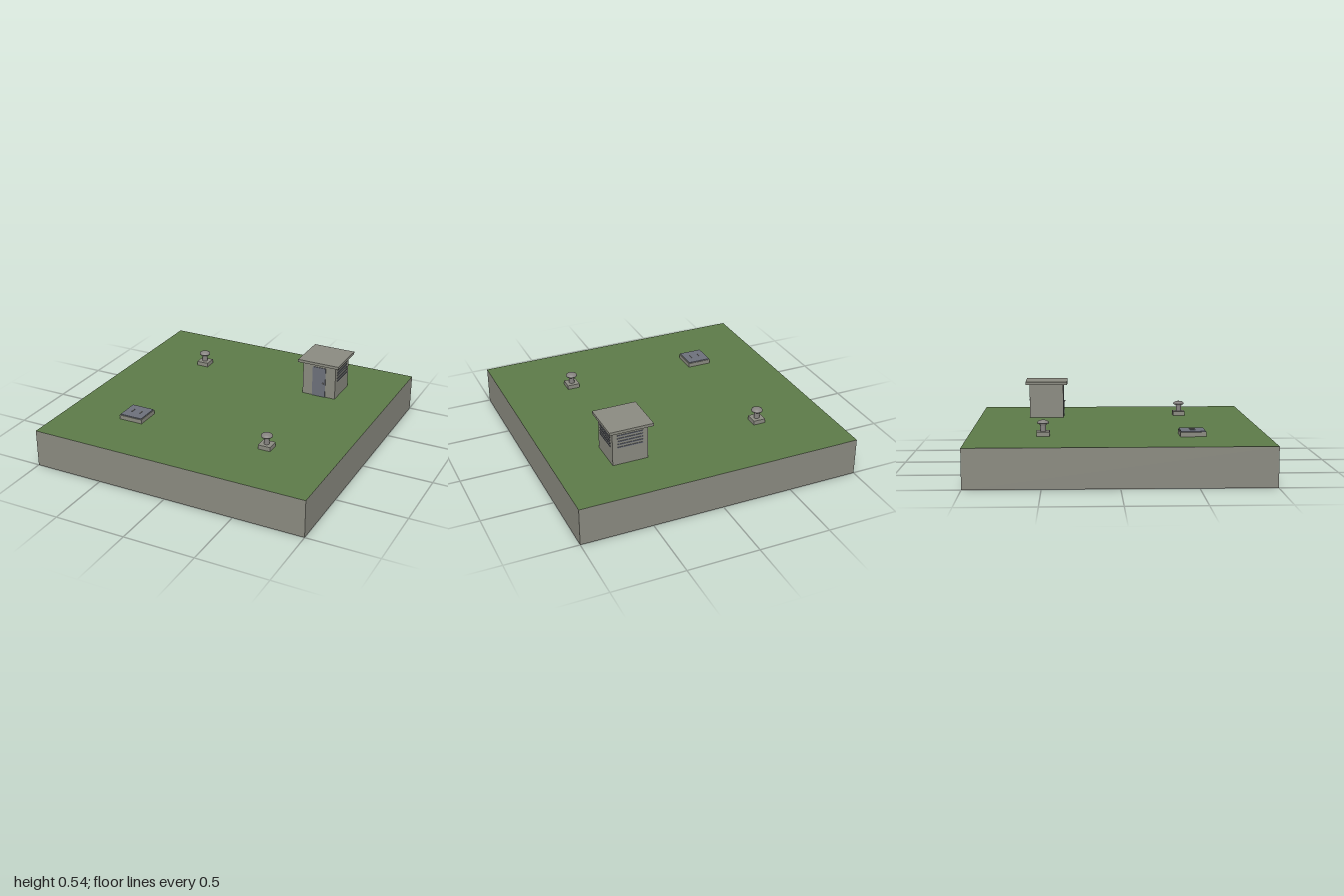
import * as THREE from 'three';

const mat = (name, color, side = THREE.FrontSide) => {
  const m = new THREE.MeshStandardMaterial({ color, side });
  m.name = name;
  return m;
};

export function createModel() {
  const root = new THREE.Group();
  root.name = 'bunkerPlot';
  const grass = mat('grass', 0x5c7a48, THREE.DoubleSide);
  const concrete = mat('concrete', 0x8a8a80, THREE.DoubleSide);
  const steel = mat('steel', 0x6c707a);
  const metal = mat('ventMetal', 0x85827f);
  const G = 0.265; // ground level

  const add = (parent, name, geo, material, x, y, z) => {
    const m = new THREE.Mesh(geo, material);
    m.name = name;
    m.position.set(x, y, z);
    parent.add(m);
    return m;
  };
  // Box standing on height y
  const box = (parent, name, material, w, h, d, x, y, z) =>
    add(parent, name, new THREE.BoxGeometry(w, h, d), material, x, y + h / 2, z);
  const group = (name, x, z) => {
    const g = new THREE.Group();
    g.name = name;
    g.position.set(x, G, z);
    root.add(g);
    return g;
  };

  // Ground: grass sheet over four thin walls, open underneath
  add(root, 'grassTop', new THREE.PlaneGeometry(2, 2).rotateX(-Math.PI / 2), grass, 0, G, 0);
  for (let i = 0; i < 4; i++) {
    const a = (i * Math.PI) / 2;
    const wall = add(root, 'groundWall', new THREE.PlaneGeometry(2, G), concrete, Math.sin(a), G / 2, Math.cos(a));
    wall.rotation.y = a;
  }

  // Entrance hut with overhanging roof, door and louvres
  const hut = group('entranceHut', 0.5, -0.5);
  box(hut, 'hutWalls', concrete, 0.25, 0.25, 0.25, 0, 0, 0);
  box(hut, 'hutRoof', concrete, 0.31, 0.02, 0.31, 0, 0.25, 0);
  box(hut, 'door', steel, 0.1, 0.225, 0.008, 0, 0, 0.126);
  const handle = new THREE.SphereGeometry(0.006, 12, 8);
  add(hut, 'doorHandle', handle, metal, 0.034, 0.108, 0.133);
  for (let i = 0; i < 5; i++) {
    const y = 0.125 + i * 0.022;
    box(hut, 'sideLouvre', steel, 0.006, 0.008, 0.18, 0.126, y, 0);
    box(hut, 'backLouvre', steel, 0.18, 0.008, 0.006, 0, y, -0.126);
  }

  // Hatch with two grab bars
  const hatch = group('hatch', -0.5, 0.5);
  box(hatch, 'hatchCurb', concrete, 0.175, 0.03, 0.175, 0, 0, 0);
  box(hatch, 'hatchLid', steel, 0.165, 0.006, 0.165, 0, 0.03, 0);
  for (const s of [-1, 1]) box(hatch, 'hatchHandle', metal, 0.005, 0.004, 0.036, s * 0.032, 0.036, 0);

  // Two mushroom vents
  const capProfile = [[0, 0.083], [0.039, 0.083], [0.04, 0.088], [0.036, 0.096], [0.026, 0.102], [0.013, 0.106], [0, 0.107]]
    .map(([r, y]) => new THREE.Vector2(r, y));
  for (const s of [-1, 1]) {
    const vent = group('vent', s * 0.5, s * 0.5);
    box(vent, 'ventBase', concrete, 0.088, 0.03, 0.088, 0, 0, 0);
    add(vent, 'ventPipe', new THREE.CylinderGeometry(0.019, 0.019, 0.055, 20), metal, 0, 0.0575, 0);
    add(vent, 'ventCollar', new THREE.CylinderGeometry(0.026, 0.022, 0.014, 20), metal, 0, 0.079, 0);
    add(vent, 'ventCap', new THREE.LatheGeometry(capProfile, 24), metal, 0, 0, 0);
  }

  return root;
}
